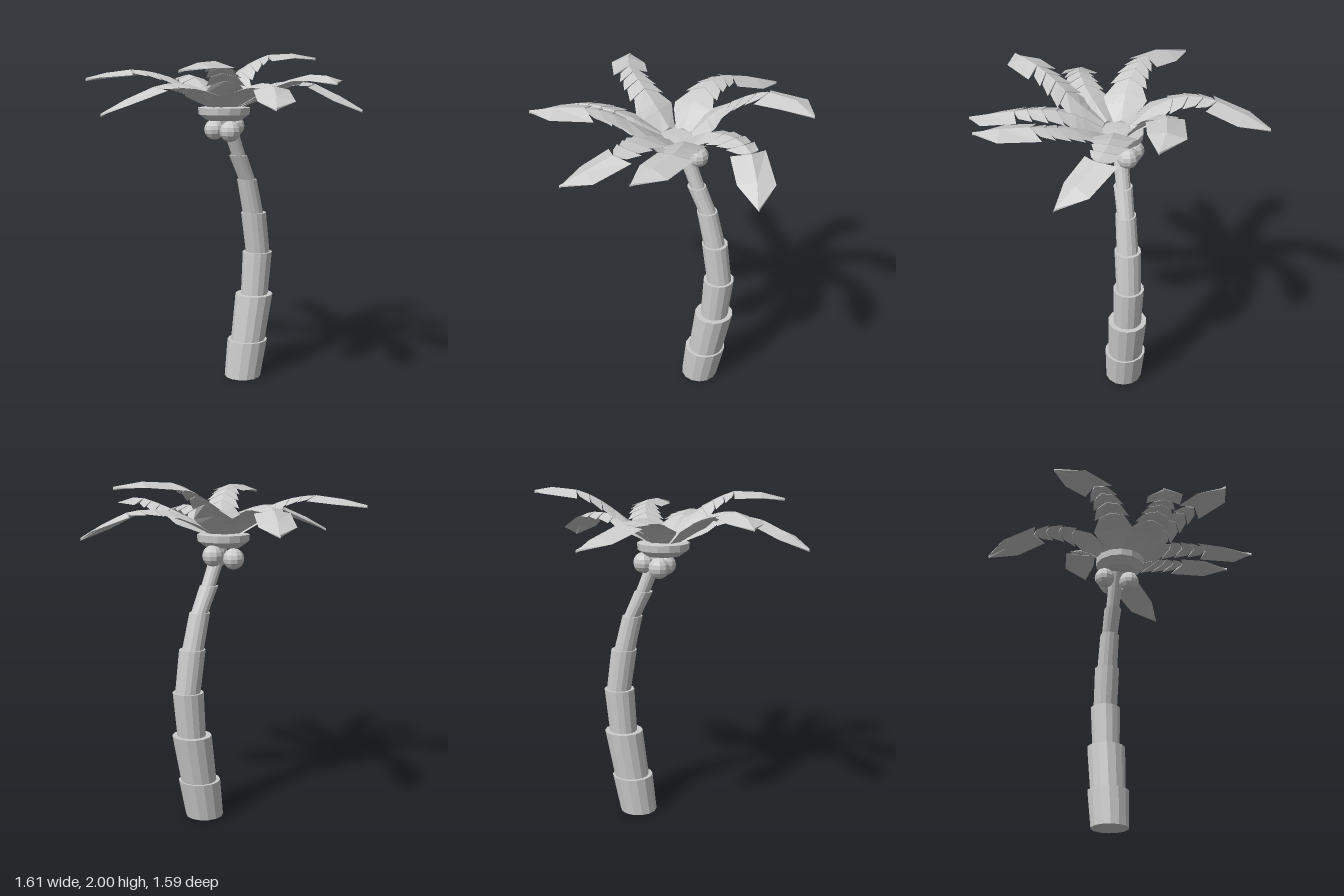
import * as THREE from 'three';

const material = new THREE.MeshStandardMaterial({ color: 0xcccccc, flatShading: true, side: THREE.DoubleSide });
const UP = new THREE.Vector3(0, 1, 0);

function addMesh(parent, name, geometry) {
  const mesh = new THREE.Mesh(geometry, material);
  mesh.name = name;
  parent.add(mesh);
  return mesh;
}

// Trunk section with level ends, leaning from one centre to the other
function trunkSection([x0, y0, r0], [x1, y1, r1]) {
  const h = y1 - y0;
  const geo = new THREE.CylinderGeometry(r1, r0, h, 14);
  const p = geo.attributes.position;
  for (let i = 0; i < p.count; i++) {
    const t = p.getY(i) / h + 0.5;
    p.setXYZ(i, p.getX(i) + x0 + (x1 - x0) * t, y0 + h * t, p.getZ(i));
  }
  geo.computeVertexNormals();
  return geo;
}

// Folded leaf piece lofted along a curve; stations are [t, half width, back sweep]
function leafPiece(curve, stations) {
  const pos = [], index = [];
  stations.forEach(([t, w, sweep]) => {
    const ridge = curve.getPointAt(t);
    const tan = curve.getTangentAt(t);
    const side = tan.clone().cross(UP).normalize();
    const fold = 0.01 + w * 0.2;
    const edge = (s) => ridge.clone().addScaledVector(side, s * w)
      .addScaledVector(tan, -sweep).addScaledVector(UP, -fold);
    const under = ridge.clone().addScaledVector(UP, -0.018);
    for (const v of [edge(-1), ridge, edge(1), under]) pos.push(v.x, v.y, v.z);
  });
  for (let s = 0; s < stations.length - 1; s++) {
    for (let i = 0; i < 4; i++) {
      const a = s * 4 + i, b = s * 4 + (i + 1) % 4;
      index.push(a, b, b + 4, a, b + 4, a + 4);
    }
  }
  const e = (stations.length - 1) * 4;
  index.push(0, 3, 1, 1, 3, 2, e, e + 1, e + 3, e + 1, e + 2, e + 3);
  const geo = new THREE.BufferGeometry();
  geo.setAttribute('position', new THREE.Float32BufferAttribute(pos, 3));
  geo.setIndex(index);
  const flat = geo.toNonIndexed();
  flat.computeVertexNormals();
  return flat;
}

// Root, broad plate, three chevrons and a pointed end blade
const PIECES = [
  ['leafRoot', [[0, 0.045, 0], [0.145, 0.105, 0]]],
  ['leafPlate', [[0.14, 0.105, 0], [0.2, 0.125, 0], [0.33, 0.08, 0.02]]],
  ['leafChevron', [[0.335, 0.11, 0.03], [0.43, 0.08, 0.03]]],
  ['leafChevron', [[0.435, 0.1, 0.035], [0.525, 0.07, 0.035]]],
  ['leafChevron', [[0.53, 0.09, 0.04], [0.615, 0.06, 0.04]]],
  ['leafBlade', [[0.62, 0.1, 0.045], [0.82, 0.1, 0.01], [1, 0.002, 0]]],
];

// Ridge lines of the fronds, from root to tip
const FRONDS = [
  [[0.035, 1.7, -0.08], [0.036, 1.81, -0.22], [0.065, 1.865, -0.38], [0.125, 1.85, -0.54], [0.31, 1.745, -0.8]],
  [[0.1, 1.7, -0.05], [0.22, 1.83, -0.135], [0.42, 1.96, -0.16], [0.6, 2.0, -0.14], [0.8, 1.97, -0.04]],
  [[0.11, 1.7, 0.02], [0.25, 1.79, 0.06], [0.42, 1.83, 0.12], [0.57, 1.81, 0.22], [0.715, 1.665, 0.46]],
  [[0.1, 1.7, 0.06], [0.2, 1.81, 0.25], [0.245, 1.86, 0.42], [0.245, 1.88, 0.58], [0.175, 1.84, 0.79]],
  [[0.02, 1.7, 0.07], [-0.01, 1.8, 0.26], [-0.02, 1.83, 0.42], [-0.07, 1.81, 0.57], [-0.24, 1.715, 0.78]],
  [[-0.03, 1.7, 0.05], [-0.11, 1.82, 0.2], [-0.22, 1.91, 0.3], [-0.37, 1.955, 0.4], [-0.615, 1.905, 0.46]],
  [[-0.05, 1.7, 0.03], [-0.22, 1.8, 0.1], [-0.4, 1.83, 0.115], [-0.58, 1.795, 0.09], [-0.805, 1.67, 0]],
  [[-0.04, 1.7, -0.05], [-0.18, 1.82, -0.11], [-0.31, 1.88, -0.19], [-0.445, 1.9, -0.32], [-0.565, 1.85, -0.57]],
];

export function createModel() {
  const tree = new THREE.Group();
  tree.name = 'palmTree';

  // Trunk: each section flares upward and steps in slightly at the next
  const sections = [
    [[0.195, 0, 0.112], [0.232, 0.23, 0.124]],
    [[0.238, 0.23, 0.106], [0.285, 0.515, 0.116]],
    [[0.288, 0.515, 0.084], [0.31, 0.78, 0.091]],
    [[0.312, 0.78, 0.074], [0.277, 1.03, 0.077]],
    [[0.272, 1.03, 0.063], [0.222, 1.24, 0.06]],
    [[0.222, 1.24, 0.05], [0.153, 1.39, 0.054]],
    [[0.157, 1.39, 0.042], [0.06, 1.63, 0.045]],
  ];
  const trunk = new THREE.Group();
  trunk.name = 'trunk';
  trunk.position.z = -0.017;
  sections.forEach(([a, b]) => addMesh(trunk, 'trunkSection', trunkSection(a, b)));
  tree.add(trunk);

  // Crown base under the fronds
  const profile = [[0, 1.6], [0.1, 1.605], [0.15, 1.64], [0.154, 1.68], [0.12, 1.685], [0, 1.69]]
    .map(([r, y]) => new THREE.Vector2(r, y));
  addMesh(tree, 'crownBase', new THREE.LatheGeometry(profile, 14)).position.set(0.036, 0, -0.004);

  // Coconuts
  for (const [x, y, z] of [[0.035, 1.542, 0.055], [0.145, 1.565, -0.045], [0.04, 1.545, -0.103]])
    addMesh(tree, 'coconut', new THREE.SphereGeometry(0.062, 10, 8)).position.set(x, y, z);

  // Fronds
  FRONDS.forEach((points) => {
    const curve = new THREE.CatmullRomCurve3(points.map((p) => new THREE.Vector3(...p)));
    const frond = new THREE.Group();
    frond.name = 'frond';
    PIECES.forEach(([name, stations]) => addMesh(frond, name, leafPiece(curve, stations)));
    tree.add(frond);
  });

  return tree;
}
